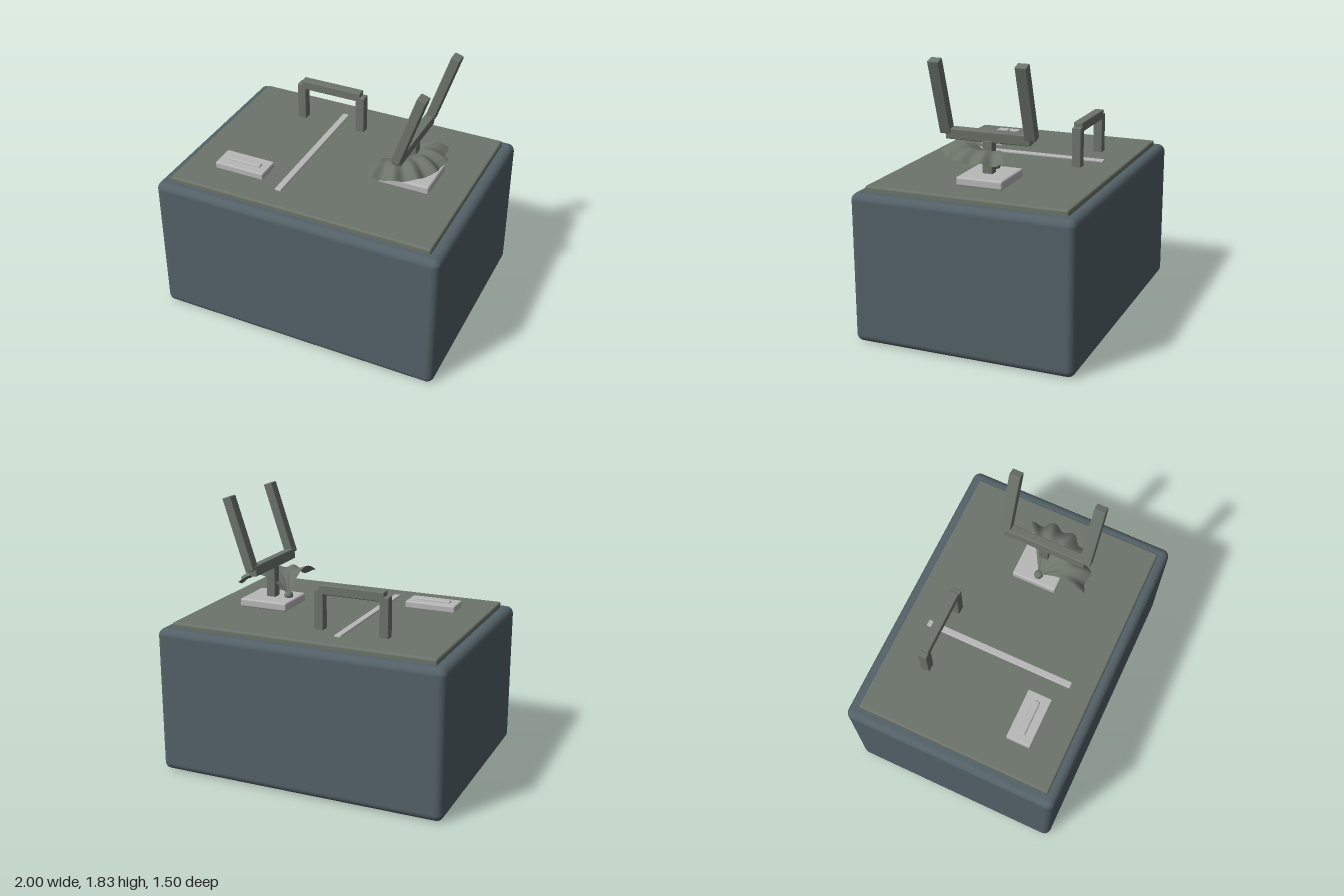
import * as THREE from 'three';
import { RoundedBoxGeometry } from 'three/addons/geometries/RoundedBoxGeometry.js';
import { ParametricGeometry } from 'three/addons/geometries/ParametricGeometry.js';

const makeMaterial = (name, color, side = THREE.FrontSide) => {
  const m = new THREE.MeshStandardMaterial({ color, side });
  m.name = name;
  return m;
};

export function createModel() {
  const model = new THREE.Group();
  model.name = 'model';
  const slate = makeMaterial('slate', 0x536167);
  const olive = makeMaterial('oliveGrey', 0x6c746a, THREE.DoubleSide);
  const silver = makeMaterial('lightGrey', 0xb8b8b8);

  const add = (name, geometry, material, x, y, z, tilt = 0) => {
    const mesh = new THREE.Mesh(geometry, material);
    mesh.name = name;
    mesh.position.set(x, y, z);
    mesh.rotation.z = tilt;
    model.add(mesh);
    return mesh;
  };
  // Rounded block, placed by its centre
  const block = (name, material, [w, h, d], [x, y, z], r = 0.008, tilt = 0) =>
    add(name, new RoundedBoxGeometry(w, h, d, 4, r), material, x, y, z, tilt);

  // Main case and raised deck
  block('body', slate, [2, 1, 1.5], [0, 0.5, 0], 0.05);
  block('deck', olive, [1.84, 0.055, 1.36], [0, 1.0075, 0], 0.014);

  // Dividing strip
  block('strip', silver, [0.046, 0.025, 1.05], [-0.203, 1.035, -0.003], 0.006);

  // Carry handle
  for (const x of [-0.478, -0.028])
    block('handlePost', olive, [0.065, 0.28, 0.065], [x, 1.163, -0.4]);
  block('handleBar', olive, [0.45, 0.065, 0.065], [-0.253, 1.302, -0.4]);

  // Small latch plate with grip
  block('latchPlate', silver, [0.355, 0.05, 0.17], [-0.528, 1.053, 0.37], 0.01);
  block('latchGrip', silver, [0.245, 0.025, 0.045], [-0.528, 1.078, 0.37], 0.01);

  // Fork: base plate, post, crossbar and two leaning arms
  block('forkBase', silver, [0.35, 0.06, 0.315], [0.52, 1.062, -0.003], 0.014);
  block('forkPost', olive, [0.066, 0.23, 0.07], [0.522, 1.19, 0]);
  block('forkCrossbar', olive, [0.062, 0.072, 0.58], [0.523, 1.33, 0], 0.008, -0.1);
  for (const z of [-0.29, 0.29])
    block('forkArm', olive, [0.063, 0.515, 0.078], [0.604, 1.578, z], 0.008, -0.32);

  // Ball joint at the root of the fan
  add('fanJoint', new THREE.SphereGeometry(0.031, 24, 16), olive, 0.405, 1.103, 0.008);

  // Ruffled shell that arches outward from the joint
  const fan = new ParametricGeometry((u, t, p) => {
    const angle = THREE.MathUtils.degToRad(-33 + 130 * u);
    const wave = Math.cos(u * Math.PI * 10);
    const r = t * (0.334 + 0.014 * wave);
    const y = 0.152 * Math.sin(Math.PI * 0.79 * t) + 0.014 * t * t * wave;
    p.set(Math.cos(angle) * r, y, Math.sin(angle) * r);
  }, 60, 16);
  add('fan', fan, olive, 0.405, 1.103, 0.008);

  return model;
}
